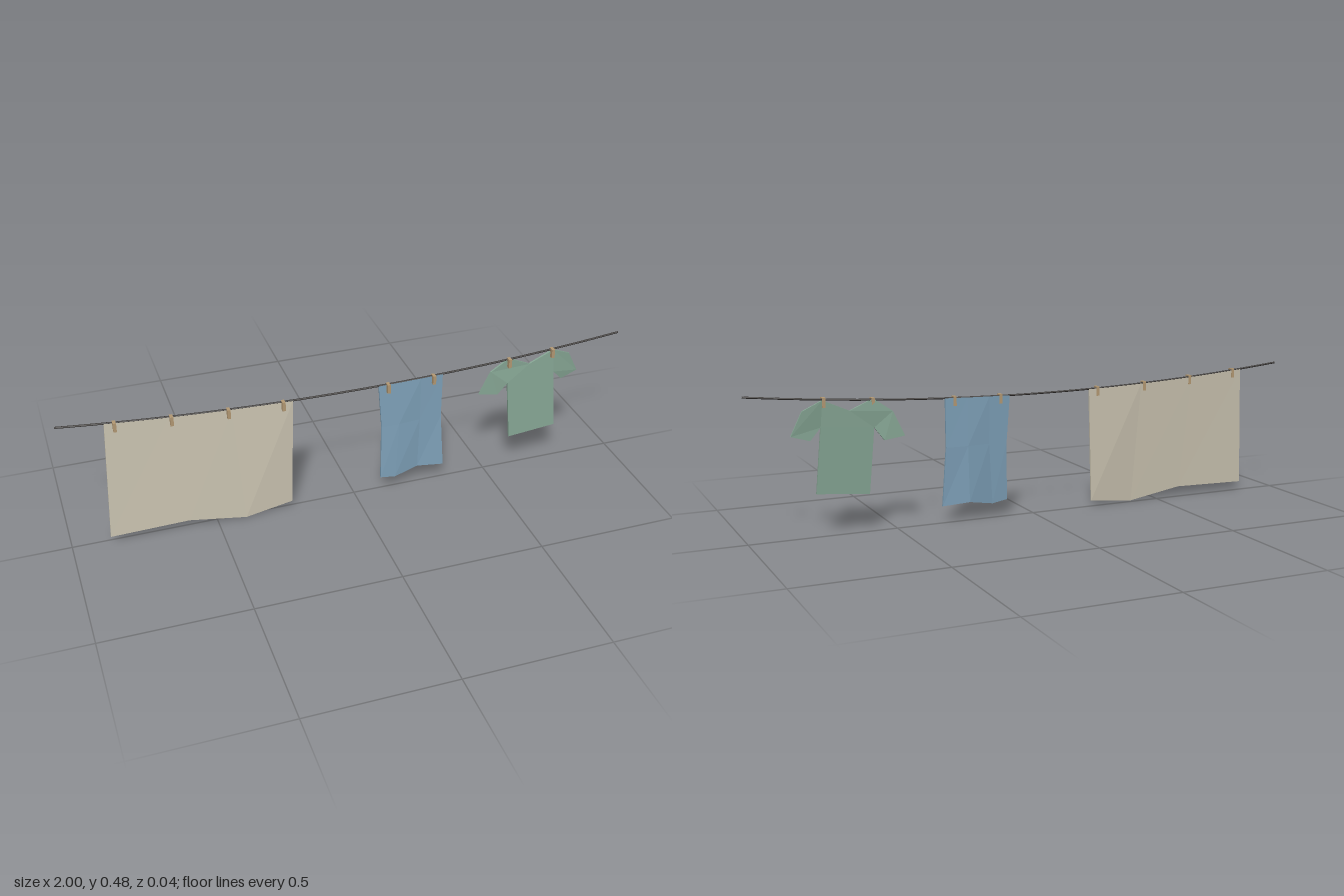
import * as THREE from 'three';

const mat = (name, color) => {
  const m = new THREE.MeshStandardMaterial({ color, flatShading: true });
  m.name = name;
  return m;
};

// height of the sagging line at x
const lineY = (x) => 0.423 + 0.053 * x * x;
const LINE_Z = -0.002;

// hanging cloth: rows of [x, y, z] points from top to bottom, given a thickness
function hangCloth(name, rows, thickness, material) {
  const cols = rows[0].length - 1, steps = rows.length - 1;
  const geo = new THREE.BoxGeometry(cols, steps, thickness, cols, steps, 1);
  const p = geo.attributes.position;
  for (let i = 0; i < p.count; i++) {
    const c = Math.round(p.getX(i) + cols / 2);
    const r = Math.round(steps / 2 - p.getY(i));
    const [x, y, z] = rows[r][c];
    p.setXYZ(i, x, y, z + p.getZ(i));
  }
  geo.computeVertexNormals();
  const mesh = new THREE.Mesh(geo, material);
  mesh.name = name;
  return mesh;
}

// top row of a cloth, following the line
const topRow = (xs) => xs.map((x) => [x, lineY(x), LINE_Z]);

export function createModel() {
  const group = new THREE.Group();
  group.name = 'clothesline';
  const rope = mat('dark rope', 0x3a3735);
  const linen = mat('beige linen', 0xccc5b2);
  const blue = mat('blue towel cloth', 0x7fa2ba);
  const green = mat('green shirt cloth', 0x88a896);
  const wood = mat('peg wood', 0xb59a74);

  // line
  const pts = [];
  for (let i = 0; i <= 16; i++) {
    const x = -1 + i / 8;
    pts.push(new THREE.Vector3(x, lineY(x), LINE_Z));
  }
  const line = new THREE.Mesh(
    new THREE.TubeGeometry(new THREE.CatmullRomCurve3(pts), 32, 0.0035, 6), rope);
  line.name = 'line';
  group.add(line);

  // sheet
  group.add(hangCloth('sheet', [
    topRow([-0.845, -0.635, -0.425, -0.215]),
    [[-0.87, 0.027, 0.017], [-0.6, 0.033, 0.018], [-0.4, 0, 0.018], [-0.23, 0.02, 0.003]],
  ], 0.006, linen));

  // towel
  group.add(hangCloth('towel', [
    topRow([0.09, 0.165, 0.245, 0.325]),
    [[0.1, 0.26, 0.004], [0.165, 0.26, 0.004], [0.245, 0.26, -0.003], [0.324, 0.26, -0.002]],
    [[0.095, 0.056, 0.015], [0.15, 0.047, 0.013], [0.24, 0.064, -0.002], [0.336, 0.057, 0.006]],
  ], 0.007, blue));

  // shirt: cut from its outline, then the hem swings forward and the sleeves back
  const outline = [
    [0.575, 0.445], [0.51, 0.4], [0.47, 0.315], [0.54, 0.304], [0.573, 0.348],
    [0.59, 0.125], [0.77, 0.142], [0.752, 0.362], [0.79, 0.322], [0.855, 0.342],
    [0.815, 0.42], [0.745, 0.45], [0.655, 0.41],
  ].map(([x, y]) => new THREE.Vector2(x, y));
  const shirtGeo = new THREE.ExtrudeGeometry(new THREE.Shape(outline),
    { depth: 0.007, bevelEnabled: false });
  const p = shirtGeo.attributes.position;
  for (let i = 0; i < p.count; i++) {
    const x = p.getX(i), y = p.getY(i);
    let z = LINE_Z + (0.445 - y) * 0.04;
    if (x > 0.78) z = LINE_Z - (x - 0.745) * 0.13;
    if (x < 0.56) z = LINE_Z - (0.575 - x) * 0.05;
    p.setZ(i, p.getZ(i) - 0.0035 + z);
  }
  shirtGeo.computeVertexNormals();
  const shirt = new THREE.Mesh(shirtGeo, green);
  shirt.name = 'shirt';
  group.add(shirt);

  // pegs
  const pegGeo = new THREE.BoxGeometry(0.011, 0.033, 0.021);
  for (const x of [-0.813, -0.628, -0.438, -0.25, 0.123, 0.29, 0.575, 0.74]) {
    const peg = new THREE.Mesh(pegGeo, wood);
    peg.name = 'peg';
    peg.position.set(x, lineY(x) - 0.0105, 0.0045);
    group.add(peg);
  }
  return group;
}
